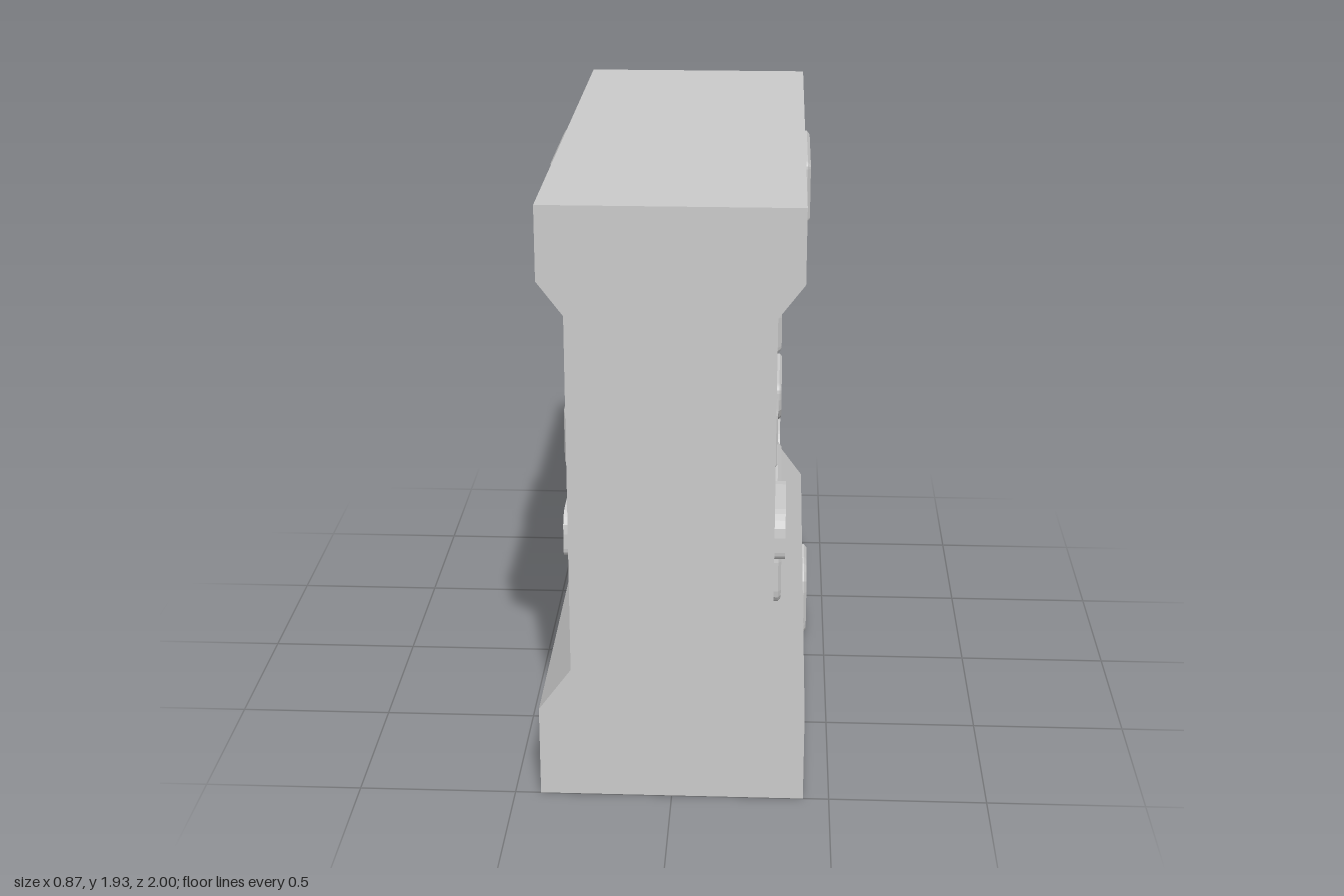
import * as THREE from 'three';

const WALL_X = 0.315, FOOT_X = 0.418, CAP_X = 0.395;
const WALL_Y0 = 0.44, WALL_Y1 = 1.6, TOP = 1.935;

// Stones on each side: z from/to, y from/to, how far out, bevel, corner radii [z0y0, z1y0, z1y1, z0y1]
const STONES = [
  { name: 'capStone', z: [0.395, -0.09], y: [1.725, 1.92], out: 0.411, bevel: 0.012, r: [0.015, 0.05, 0.03, 0.02] },
  { name: 'edgeStone', z: [1.0, 0.85], y: [1.125, 1.315], out: 0.32, bevel: 0.012, r: [0.015, 0.015, 0.02, 0.03] },
  { name: 'jambStone', z: [-0.65, -0.995], y: [0.925, 1.11], out: 0.331, bevel: 0.018, r: [0.03, 0.12, 0.04, 0.04] },
  { name: 'archedStone', z: [0.815, 0.44], y: [0.74, 0.89], out: 0.349, bevel: 0, r: [0.03, 0.003, 0.1, 0.07] },
  { name: 'squareStone', z: [0.675, 0.43], y: [0.52, 0.702], out: 0.338, bevel: 0.012, r: [0.05, 0.02, 0.04, 0.03] },
  { name: 'longStone', z: [0.14, -0.36], y: [0.522, 0.698], out: 0.336, bevel: 0.016, r: [0.03, 0.03, 0.04, 0.03] },
  { name: 'roundStone', z: [-0.39, -0.625], y: [0.525, 0.697], out: 0.33, bevel: 0, r: [0.09, 0.03, 0.06, 0.06] },
  { name: 'sillStone', z: [-0.4, -0.797], y: [0.735, 0.89], out: 0.333, bevel: 0.01, r: [0.1, 0.03, 0.03, 0.03] },
  { name: 'footStone', z: [-0.125, -0.362], y: [0.015, 0.287], out: 0.435, bevel: 0.012, r: [0.04, 0.05, 0.03, 0.1] },
];

// Rounded outline with one radius per corner, drawn counter-clockwise
function roundedShape(x0, y0, x1, y1, [a, b, c, d]) {
  const s = new THREE.Shape();
  s.moveTo(x0 + a, y0);
  s.lineTo(x1 - b, y0);
  s.quadraticCurveTo(x1, y0, x1, y0 + b);
  s.lineTo(x1, y1 - c);
  s.quadraticCurveTo(x1, y1, x1 - c, y1);
  s.lineTo(x0 + d, y1);
  s.quadraticCurveTo(x0, y1, x0, y1 - d);
  s.lineTo(x0, y0 + a);
  s.quadraticCurveTo(x0, y0, x0 + a, y0);
  return s;
}

function stoneGeometry({ z, y, out, bevel, r }, side) {
  // Seen from outside, the outline runs along -z on one side and +z on the other
  const shape = side > 0
    ? roundedShape(-z[0], y[0], -z[1], y[1], r)
    : roundedShape(z[1], y[0], z[0], y[1], [r[1], r[0], r[3], r[2]]);
  const depth = 0.06;
  const geo = new THREE.ExtrudeGeometry(shape, {
    depth, curveSegments: 4, bevelEnabled: bevel > 0,
    bevelThickness: bevel * 0.8, bevelSize: bevel, bevelOffset: -bevel, bevelSegments: 1,
  });
  geo.translate(0, 0, out - depth - bevel * 0.8);
  return geo.rotateY(side * Math.PI / 2);
}

// Flat four-sided faces, corners counter-clockwise from outside
function quadGeometry(quads) {
  const points = quads.flatMap(([a, b, c, d]) => [a, b, c, a, c, d]);
  const geo = new THREE.BufferGeometry();
  geo.setAttribute('position', new THREE.Float32BufferAttribute(points.flat(), 3));
  geo.computeVertexNormals();
  return geo;
}

// Rectangle around the opening at depth x, shrunk by inset
function openingRing(x, inset) {
  const z0 = 0.68 - inset, z1 = -0.64 + inset, y0 = 0.915 + inset, y1 = 1.525 - inset;
  return [[x, y0, z0], [x, y0, z1], [x, y1, z1], [x, y1, z0]];
}

export function createModel() {
  const model = new THREE.Group();
  model.name = 'windowWall';
  const stone = new THREE.MeshStandardMaterial({ color: 0xcccccc });
  stone.name = 'greyStone';
  const add = (name, geo, parent = model) => {
    const mesh = new THREE.Mesh(geo, stone);
    mesh.name = name;
    parent.add(mesh);
    return mesh;
  };

  // Cross-section with a wide foot and an overhanging cap
  const half = [[FOOT_X, 0], [FOOT_X, 0.3], [WALL_X, WALL_Y0], [WALL_X, WALL_Y1], [CAP_X, 1.705], [CAP_X, TOP]];
  const profile = [...half, ...half.map(([x, y]) => [-x, y]).reverse()];
  const section = new THREE.Shape(profile.map(p => new THREE.Vector2(...p)));
  add('frontEnd', new THREE.ShapeGeometry(section).translate(0, 0, 1));
  add('backEnd', new THREE.ShapeGeometry(section).rotateY(Math.PI).translate(0, 0, -1));

  // Foot, cap and slopes; the upright wall faces are made separately
  const bands = [];
  profile.forEach(([x, y], i) => {
    const [u, v] = profile[(i + 1) % profile.length];
    if (Math.abs(x) === WALL_X && x === u) return;
    bands.push([[x, y, 1], [x, y, -1], [u, v, -1], [u, v, 1]]);
  });
  add('footAndCap', quadGeometry(bands));

  // Wall faces with the window cut out
  for (const side of [1, -1]) {
    const face = new THREE.Shape([[-1, WALL_Y0], [1, WALL_Y0], [1, WALL_Y1], [-1, WALL_Y1]]
      .map(p => new THREE.Vector2(...p)));
    face.holes.push(new THREE.Path(openingRing(0, 0).map(([, y, z]) => new THREE.Vector2(-side * z, y))));
    add(side > 0 ? 'leftWallFace' : 'rightWallFace',
      new THREE.ShapeGeometry(face).translate(0, 0, WALL_X).rotateY(side * Math.PI / 2));
  }

  // Chamfered lining of the window
  const c = 0.038;
  const rings = [openingRing(WALL_X, 0), openingRing(WALL_X - c, c), openingRing(c - WALL_X, c), openingRing(-WALL_X, 0)];
  const lining = [];
  for (let k = 0; k < 3; k++) {
    for (let i = 0; i < 4; i++) {
      const j = (i + 1) % 4;
      lining.push([rings[k][i], rings[k][j], rings[k + 1][j], rings[k + 1][i]]);
    }
  }
  add('windowLining', quadGeometry(lining));

  // Raised stones, mirrored on both sides
  for (const side of [1, -1]) {
    const group = new THREE.Group();
    group.name = side > 0 ? 'leftStones' : 'rightStones';
    for (const s of STONES) add(s.name, stoneGeometry(s, side), group);
    model.add(group);
  }
  return model;
}
